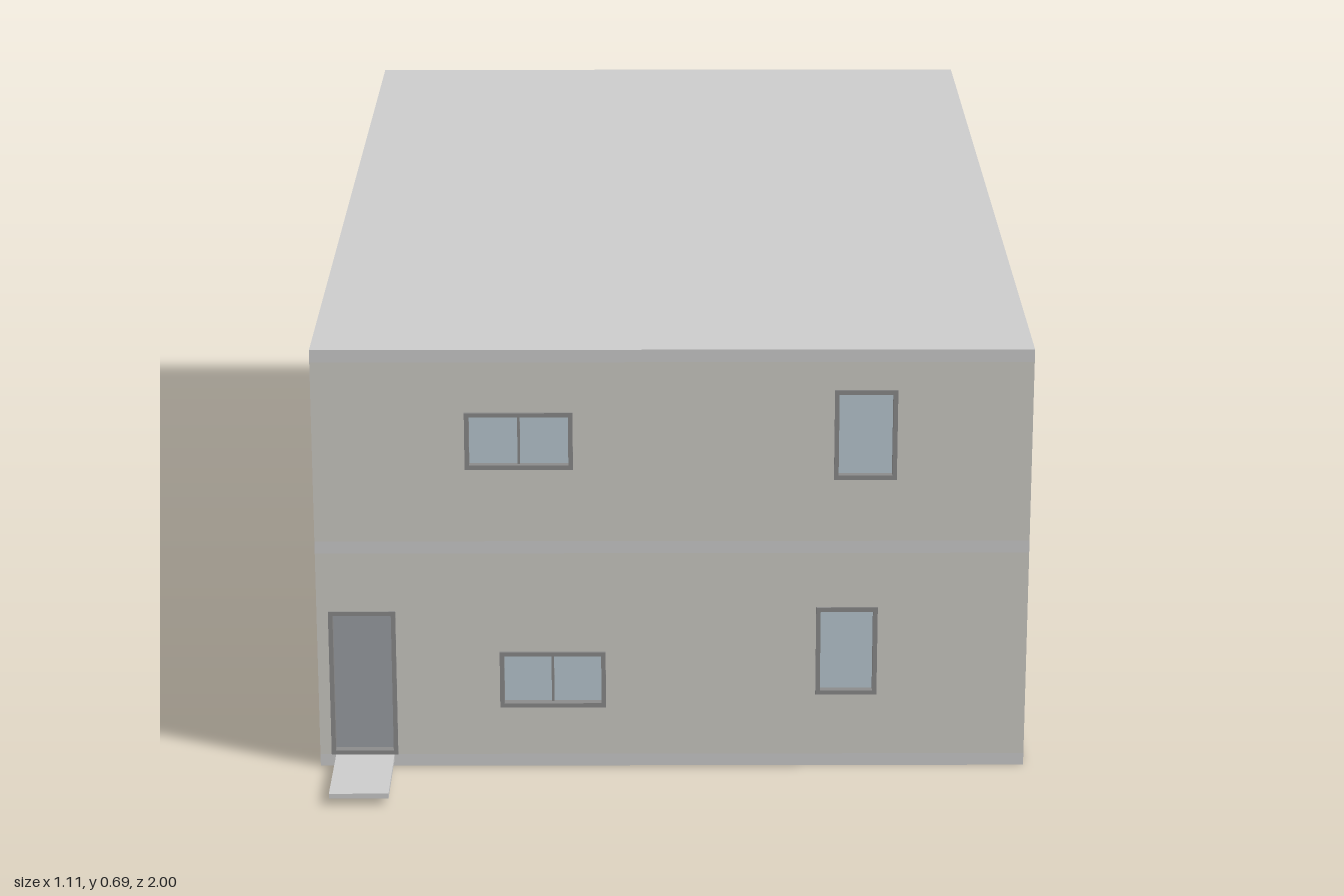
import * as THREE from 'three';

const W = 0.555, BACK = -1, FRONT = 0.844, T = 0.03;

const mat = (color) => new THREE.MeshStandardMaterial({ color });
const wallMat = mat(0xcccac4), slabMat = mat(0xc0c0bc), frameMat = mat(0x8a8a8a);
const glassMat = mat(0xb9c8d1), doorMat = mat(0x9a9ea3), stepMat = mat(0xcccccc);

// Box given by its limits on each axis
function box(name, material, x0, x1, y0, y1, z0, z1) {
  const mesh = new THREE.Mesh(new THREE.BoxGeometry(x1 - x0, y1 - y0, z1 - z0), material);
  mesh.position.set((x0 + x1) / 2, (y0 + y1) / 2, (z0 + z1) / 2);
  mesh.name = name;
  return mesh;
}

// Upright rectangular panel with rectangular openings
function panel(name, material, [x0, x1, y0, y1], holes, z0, z1) {
  const rect = (p, a, b, c, d) => p.moveTo(a, c).lineTo(b, c).lineTo(b, d).lineTo(a, d).closePath();
  const shape = rect(new THREE.Shape(), x0, x1, y0, y1);
  for (const h of holes) shape.holes.push(rect(new THREE.Path(), ...h));
  const geo = new THREE.ExtrudeGeometry(shape, { depth: z1 - z0, bevelEnabled: false });
  geo.translate(0, 0, z0);
  const mesh = new THREE.Mesh(geo, material);
  mesh.name = name;
  return mesh;
}

// Frame, recessed infill and optional centre bar
function opening({ name, rect, infill, bar }) {
  const [x0, x1, y0, y1] = rect, b = 0.007;
  const inner = [x0 + b, x1 - b, y0 + b, y1 - b];
  const g = new THREE.Group();
  g.name = name;
  g.add(panel(name + 'Frame', frameMat, rect, [inner], FRONT - T, FRONT + 0.003));
  g.add(box(name + 'Panel', infill, ...inner, FRONT - 0.022, FRONT - 0.01));
  if (bar) {
    const c = (x0 + x1) / 2;
    g.add(box(name + 'Bar', frameMat, c - 0.002, c + 0.002, y0 + b, y1 - b, FRONT - 0.01, FRONT - 0.006));
  }
  return g;
}

export function createModel() {
  const model = new THREE.Group();
  model.name = 'building';

  // Floor and roof slabs
  [['groundSlab', 0, 0.02], ['middleSlab', 0.357, 0.377], ['roofSlab', 0.668, 0.688]].forEach(([name, y0, y1]) =>
    model.add(box(name, slabMat, -W, W, y0, y1, BACK, FRONT)));

  // Walls and openings of each storey
  const storeys = [
    { name: 'lower', y0: 0.02, y1: 0.357, openings: [
      { name: 'door', rect: [-0.537, -0.432, 0.0205, 0.261], infill: doorMat },
      { name: 'lowerWideWindow', rect: [-0.27, -0.104, 0.1, 0.193], infill: glassMat, bar: true },
      { name: 'lowerTallWindow', rect: [0.225, 0.321, 0.121, 0.267], infill: glassMat },
    ] },
    { name: 'upper', y0: 0.377, y1: 0.668, openings: [
      { name: 'upperWideWindow', rect: [-0.32, -0.153, 0.495, 0.587], infill: glassMat, bar: true },
      { name: 'upperTallWindow', rect: [0.25, 0.347, 0.478, 0.623], infill: glassMat },
    ] },
  ];
  for (const { name, y0, y1, openings } of storeys) {
    const storey = new THREE.Group();
    storey.name = name + 'Storey';
    storey.add(panel('frontWall', wallMat, [-W, W, y0, y1], openings.map((o) => o.rect), FRONT - T, FRONT));
    storey.add(box('backWall', wallMat, -W, W, y0, y1, BACK, BACK + T));
    storey.add(box('rightWall', wallMat, -W, -W + T, y0, y1, BACK + T, FRONT - T));
    storey.add(box('leftWall', wallMat, W - T, W, y0, y1, BACK + T, FRONT - T));
    for (const o of openings) storey.add(opening(o));
    model.add(storey);
  }

  // Thin landing in front of the door
  model.add(box('doorStep', stepMat, -0.53, -0.438, 0.012, 0.02, FRONT, 1));
  return model;
}
